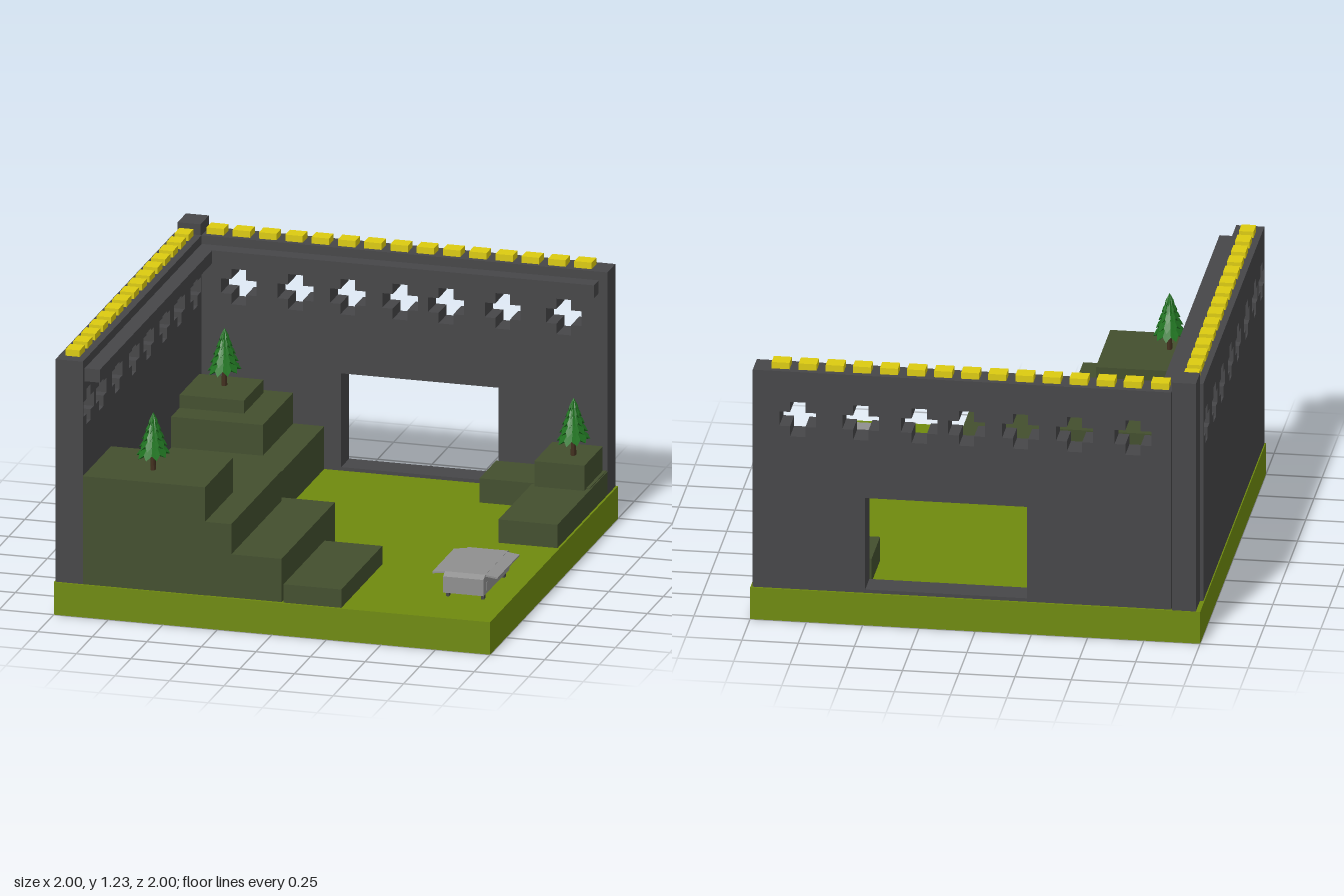
import * as THREE from 'three';

const mat = (color) => new THREE.MeshStandardMaterial({ color, flatShading: true });

export function createModel() {
  const root = new THREE.Group();
  const grass = mat(0x6f8a0e), stone = mat(0x464648), hill = mat(0x434f2e);
  const yellow = mat(0xdccb10), leaf = mat(0x1f7020), bark = mat(0x43301f), metal = mat(0x8f8f8f);

  const add = (name, geometry, material, parent = root) => {
    const mesh = new THREE.Mesh(geometry, material);
    mesh.name = name;
    parent.add(mesh);
    return mesh;
  };
  // Box given by its limits on each axis
  const box = (name, material, x0, x1, y0, y1, z0, z1, parent = root) => {
    const mesh = add(name, new THREE.BoxGeometry(x1 - x0, y1 - y0, z1 - z0), material, parent);
    mesh.position.set((x0 + x1) / 2, (y0 + y1) / 2, (z0 + z1) / 2);
    return mesh;
  };
  const path = (points) => new THREE.Path(points.map(([x, y]) => new THREE.Vector2(x, y)));
  const rect = (x0, x1, y0, y1) => [[x0, y0], [x1, y0], [x1, y1], [x0, y1]];

  // Cross-shaped window outline
  const cross = (cx, cy, r = 0.082, a = 0.034) => path([
    [-a, -r], [a, -r], [a, -a], [r, -a], [r, a], [a, a],
    [a, r], [-a, r], [-a, a], [-r, a], [-r, -a], [-a, -a],
  ].map(([x, y]) => [cx + x, cy + y]));

  const wallGeometry = (u0, u1, crosses, opening) => {
    const shape = new THREE.Shape(rect(u0, u1, 0.15, 1.18).map(([x, y]) => new THREE.Vector2(x, y)));
    crosses.forEach((u) => shape.holes.push(cross(u, 0.955)));
    if (opening) shape.holes.push(path(opening));
    return new THREE.ExtrudeGeometry(shape, { depth: 0.125, bevelEnabled: false });
  };

  box('ground', grass, -1, 1, 0, 0.15, -1, 1);

  // Walls, corner post and inner rails
  const back = wallGeometry(-0.87, 0.99, [-0.7, -0.44, -0.2, 0.04, 0.25, 0.51, 0.79],
    rect(-0.23, 0.49, 0.166, 0.6));
  add('backWall', back, stone).position.z = -0.99;
  const side = wallGeometry(-0.87, 0.99, [-0.77, -0.52, -0.29, -0.04, 0.19, 0.45, 0.7, 0.9]);
  side.rotateY(-Math.PI / 2);
  add('sideWall', side, stone).position.x = -0.87;
  box('cornerPost', stone, -0.98, -0.875, 0.15, 1.23, -0.996, -0.865);
  box('backRail', stone, -0.87, 0.95, 1.08, 1.14, -0.866, -0.79);
  box('sideRail', stone, -0.871, -0.8, 1.08, 1.14, -0.86, 0.96);

  // Yellow blocks along the wall tops
  for (let i = 0; i < 15; i++) {
    const x = -0.815 + i * 0.1204, z = -0.81 + i * 0.1214;
    box('backWallBlock', yellow, x - 0.04, x + 0.04, 1.18, 1.21, -0.962, -0.89);
    box('sideWallBlock', yellow, -0.967, -0.902, 1.18, 1.21, z - 0.04, z + 0.04);
  }

  // Stepped hills: x0, x1, top, z0, z1
  [
    [-0.87, -0.31, 0.65, 0.55, 0.99],
    [-0.87, -0.19, 0.49, 0.2, 0.988],
    [-0.87, 0.04, 0.35, 0.155, 0.986],
    [0.05, 0.315, 0.235, 0.35, 0.99],
    [-0.87, -0.308, 0.348, -0.865, 0.16],
    [-0.87, -0.45, 0.49, -0.865, -0.39],
    [-0.87, -0.575, 0.55, -0.83, -0.52],
    [0.72, 0.99, 0.258, -0.865, -0.085],
    [0.48, 0.985, 0.262, -0.865, -0.605],
    [0.74, 0.97, 0.375, -0.86, -0.575],
  ].forEach(([x0, x1, top, z0, z1]) => box('hillStep', hill, x0, x1, 0.15, top, z0, z1));

  // Pine tiers: cones with a zigzag rim
  const sides = 20;
  const tier = (radius, height) => {
    const g = new THREE.ConeGeometry(radius, height, sides, 1);
    const p = g.attributes.position;
    for (let i = 0; i < p.count; i++) {
      const x = p.getX(i), z = p.getZ(i);
      if (p.getY(i) > 0 || Math.hypot(x, z) < 1e-4) continue;
      const k = Math.round((Math.atan2(x, z) / (2 * Math.PI)) * sides);
      if (k % 2) p.setXYZ(i, x * 0.82, -height / 2 + 0.018, z * 0.82);
    }
    g.computeVertexNormals();
    return g;
  };
  [[-0.6, 0.65, 0.81], [-0.72, 0.55, -0.71], [0.88, 0.375, -0.71]].forEach(([x, y, z]) => {
    const tree = new THREE.Group();
    tree.name = 'pineTree';
    add('trunk', new THREE.CylinderGeometry(0.015, 0.019, 0.1, 10), bark, tree).position.y = 0.05;
    [[0.112, 0.07, 0.08], [0.094, 0.107, 0.08], [0.075, 0.143, 0.075], [0.054, 0.178, 0.065], [0.034, 0.21, 0.055]]
      .forEach(([r, base, h]) => {
        add('foliageTier', tier(r, h), leaf, tree).position.y = base + h / 2;
      });
    tree.scale.x = 0.64;
    tree.position.set(x, y, z);
    root.add(tree);
  });

  // Low grey cart with side flaps
  const cart = new THREE.Group();
  cart.name = 'cart';
  root.add(cart);
  const profile = new THREE.Shape([[0.32, 0.178], [0.335, 0.17], [0.73, 0.175], [0.73, 0.25], [0.7, 0.265],
    [0.345, 0.265], [0.32, 0.252]].map(([z, y]) => new THREE.Vector2(z, y)));
  const body = new THREE.ExtrudeGeometry(profile, { depth: 0.185, bevelEnabled: false });
  body.rotateY(-Math.PI / 2);
  add('cartBody', body, metal, cart).position.x = 0.89;
  for (const s of [-1, 1]) {
    const flap = box('sideFlap', metal, -0.03, 0.03, -0.004, 0.004, 0.36, 0.7, cart);
    flap.position.set(0.797 + s * 0.12, 0.257, 0.53);
    flap.rotation.z = -s * 0.12;
    for (const z of [0.37, 0.69]) {
      box('cartLeg', stone, 0.79 + s * 0.08, 0.804 + s * 0.08, 0.15, 0.18, z - 0.012, z + 0.012, cart);
    }
    box('sideLatch', metal, 0.795 + s * 0.093, 0.8 + s * 0.093, 0.19, 0.225, 0.67, 0.69, cart);
  }
  return root;
}
